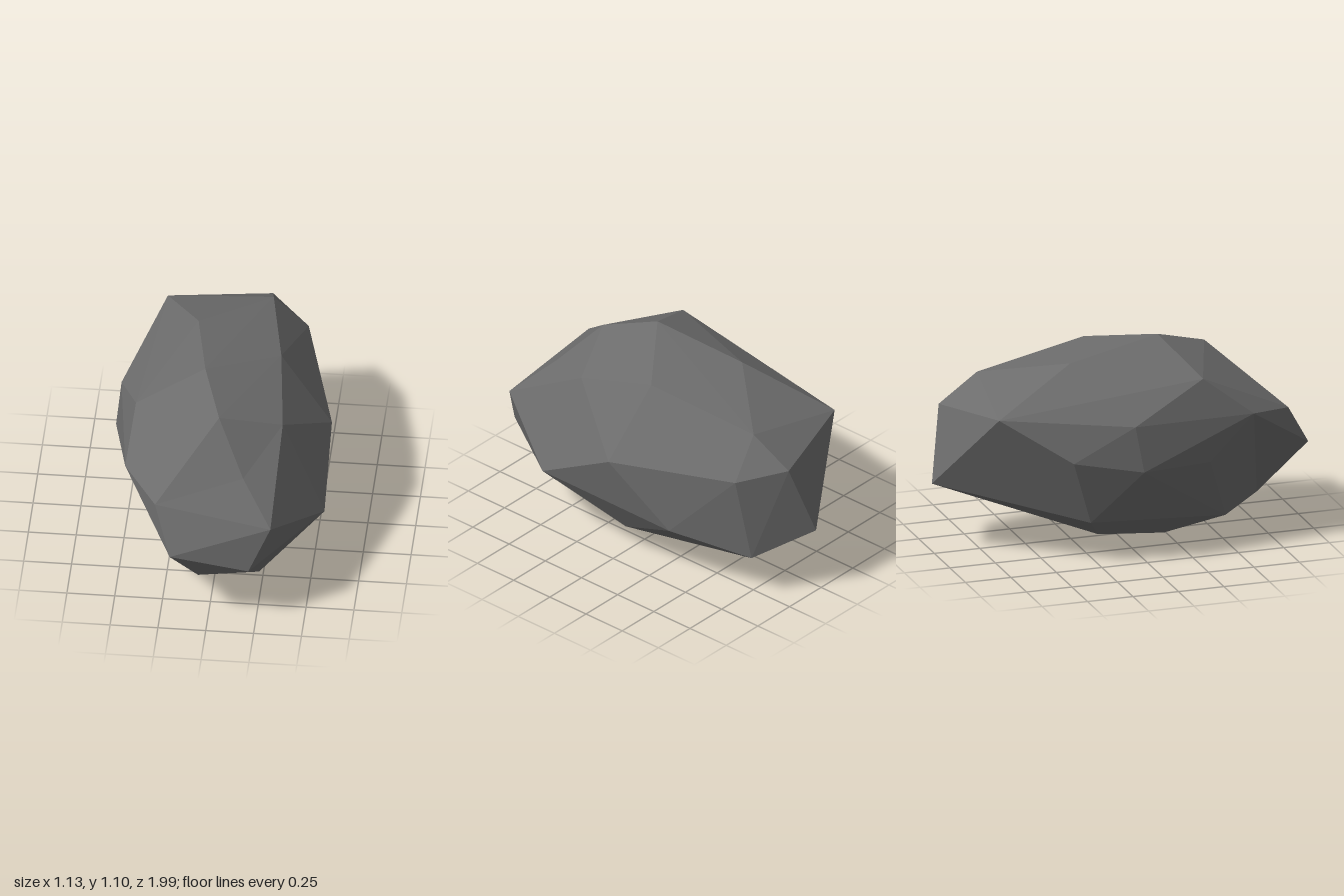
import * as THREE from 'three';
import { ConvexGeometry } from 'three/addons/geometries/ConvexGeometry.js';

// Corners of the faceted stone, grouped by region
const corners = [
  // crown
  [-0.08, 1.10, 0.20], [0.29, 1.00, -0.08], [0.02, 1.005, 0.49], [-0.43, 0.95, 0.33],
  [0.34, 0.885, 0.36], [-0.165, 1.02, -0.31], [0.19, 0.905, -0.70],
  // front
  [0.325, 0.585, 0.87], [0.215, 0.35, 0.93], [-0.19, 0.46, 0.99], [-0.28, 0.69, 0.85],
  // +x side
  [0.56, 0.63, -0.02], [0.565, 0.39, 0.43], [0.40, 0.15, 0.0], [0.47, 0.305, -0.36],
  // -x side
  [-0.57, 0.52, -0.04], [-0.545, 0.765, -0.08], [-0.46, 0.74, 0.60],
  [-0.46, 0.50, 0.36], [-0.52, 0.59, -0.41], [-0.44, 0.23, -0.29],
  // back
  [0.04, 0.37, -1.0], [0.165, 0.76, -0.92], [0.37, 0.705, -0.73],
  [-0.37, 0.82, -0.77], [0.31, 0.24, -0.79],
  // underside
  [0.24, 0.10, 0.60], [-0.065, 0.0, 0.24], [-0.15, 0.06, -0.15],
];

// Dented corners: final place, and how far it is raised while the hull is formed
const dents = [
  { at: [-0.065, 0.17, 0.75], raise: [-0.08, -0.03, 0.12] },
  { at: [-0.205, 0.11, 0.53], raise: [-0.05, -0.04, 0.0] },
  { at: [0.165, 0.77, 0.69], raise: [0.012, 0.02, 0.012] },
];

function stoneGeometry() {
  const points = corners.map((c) => new THREE.Vector3(...c));
  const raised = dents.map((d) => ({
    from: new THREE.Vector3(...d.at).add(new THREE.Vector3(...d.raise)),
    to: new THREE.Vector3(...d.at),
  }));
  const geometry = new ConvexGeometry([...points, ...raised.map((r) => r.from.clone())]);

  // Press the raised corners back in, leaving shallow valleys
  const position = geometry.attributes.position;
  const v = new THREE.Vector3();
  for (let i = 0; i < position.count; i++) {
    v.fromBufferAttribute(position, i);
    const dent = raised.find((r) => r.from.distanceTo(v) < 1e-4);
    if (dent) position.setXYZ(i, dent.to.x, dent.to.y, dent.to.z);
  }
  geometry.computeVertexNormals();
  return geometry;
}

export function createModel() {
  const stone = new THREE.MeshStandardMaterial({ color: 0x6c6c6c, flatShading: true });
  stone.name = 'stoneGrey';

  const rock = new THREE.Mesh(stoneGeometry(), stone);
  rock.name = 'rock';

  const group = new THREE.Group();
  group.name = 'boulder';
  group.add(rock);
  return group;
}
